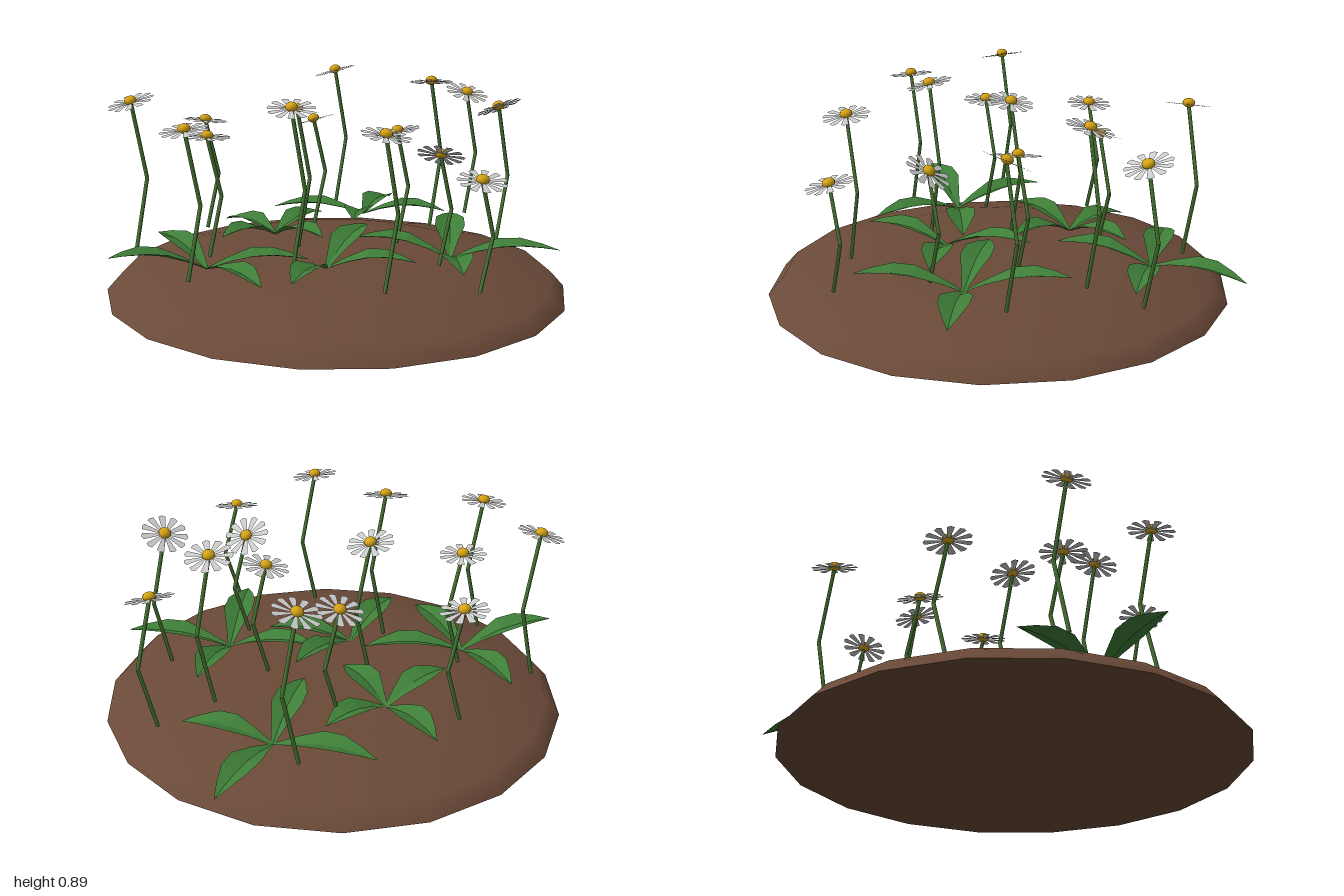
import * as THREE from 'three';

const mat = (color, extra = {}) => new THREE.MeshStandardMaterial({ color, ...extra });
const soil = mat(0x6b4a38);
const stemGreen = mat(0x4a7a35);
const leafGreen = mat(0x3f7f38, { flatShading: true, side: THREE.DoubleSide });
const petalWhite = mat(0xf0f0f0, { side: THREE.DoubleSide });
const heartYellow = mat(0xd9a514);
const UP = new THREE.Vector3(0, 1, 0);

function add(parent, name, geometry, material) {
  const mesh = new THREE.Mesh(geometry, material);
  mesh.name = name;
  parent.add(mesh);
  return mesh;
}

// Low 18-sided mound of earth with a flat underside
function makeMound() {
  const mound = new THREE.Group();
  mound.name = 'mound';
  const profile = [[1, 0], [0.94, 0.068], [0.62, 0.147], [0.42, 0.163], [0, 0.167]]
    .map(([r, y]) => new THREE.Vector2(r, y));
  add(mound, 'soilTop', new THREE.LatheGeometry(profile, 18, Math.PI / 18), soil);
  add(mound, 'soilBase', new THREE.CircleGeometry(1, 18).rotateX(Math.PI / 2), soil);
  mound.scale.z = 1.012;
  return mound;
}

// Straight rod between two points
function rod(parent, a, b, r) {
  const d = b.clone().sub(a);
  const mesh = add(parent, 'stem', new THREE.CylinderGeometry(r, r, d.length(), 6), stemGreen);
  mesh.position.copy(a).add(b).multiplyScalar(0.5);
  mesh.quaternion.setFromUnitVectors(UP, d.normalize());
}

// Ring of wedge-shaped petals lying flat
function petalRing() {
  const count = 11;
  const shapes = [];
  for (let i = 0; i < count; i++) {
    const a = (i / count) * Math.PI * 2;
    const pt = (r, w) => new THREE.Vector2(
      r * Math.cos(a) - w * Math.sin(a), r * Math.sin(a) + w * Math.cos(a));
    shapes.push(new THREE.Shape([
      pt(0.015, -0.005), pt(0.095, -0.016), pt(0.102, 0), pt(0.095, 0.016), pt(0.015, 0.005)]));
  }
  return new THREE.ShapeGeometry(shapes).rotateX(-Math.PI / 2);
}
const petals = petalRing();
const heart = new THREE.SphereGeometry(0.027, 10, 7).scale(1, 0.75, 1);

// Flower: kinked stem and a tilted head
function makeFlower([x, y, z, nx, nz], i) {
  const flower = new THREE.Group();
  flower.name = 'flower';
  const base = new THREE.Vector3(x, 0.175, z);
  const top = new THREE.Vector3(x, y - 0.01, z);
  const knee = base.clone().lerp(top, 0.49);
  knee.x += 0.07;
  rod(flower, base, knee, 0.0085);
  rod(flower, knee, top, 0.0085);
  const head = new THREE.Group();
  head.name = 'flowerHead';
  add(head, 'petals', petals, petalWhite).rotation.y = i * 0.7;
  add(head, 'flowerHeart', heart, heartYellow).position.y = 0.008;
  head.position.copy(top);
  head.quaternion.setFromUnitVectors(UP, new THREE.Vector3(nx, 1, nz).normalize());
  flower.add(head);
  return flower;
}

// Leaf: arched midrib with two raised halves, from root to tip
function leafGeometry(root, tip) {
  const sections = [[0, 0.008], [0.22, 0.036], [0.45, 0.066], [0.65, 0.062], [0.84, 0.033], [1, 0.001]];
  const side = new THREE.Vector3(tip.z - root.z, 0, root.x - tip.x).normalize();
  const pos = [], index = [];
  sections.forEach(([t, w], i) => {
    const c = root.clone().lerp(tip, t);
    c.y += 0.035 * Math.sin(Math.PI * t);
    for (const s of [-1, 0, 1]) {
      const p = c.clone().addScaledVector(side, s * w);
      pos.push(p.x, p.y + Math.abs(s) * w * 0.35, p.z);
    }
    if (i === 0) return;
    for (const k of [0, 1]) {
      const a = (i - 1) * 3 + k, b = a + 3;
      index.push(a, a + 1, b, a + 1, b + 1, b);
    }
  });
  const g = new THREE.BufferGeometry();
  g.setAttribute('position', new THREE.Float32BufferAttribute(pos, 3));
  g.setIndex(index);
  g.computeVertexNormals();
  return g;
}

// x, y, z of each head, then sideways lean of its facing direction
const FLOWERS = [
  [-0.69, 0.85, -0.53, -0.3, -0.05], [-0.20, 0.69, -0.67, 0.12, 0], [-0.48, 0.71, -0.28, 0.05, 0],
  [0.53, 0.85, -0.60, -0.15, -0.25], [0.21, 0.68, -0.39, -0.1, -0.3], [-0.10, 0.80, -0.14, 0.25, -0.05],
  [-0.76, 0.81, -0.05, -0.15, 0], [0.59, 0.86, -0.01, 0.2, -0.2], [0.88, 0.77, -0.06, 0, 0.35],
  [-0.35, 0.87, 0.12, -0.15, 0.2], [0.27, 0.69, 0.10, -0.15, -0.15], [0.16, 0.66, 0.47, 0.6, -0.35],
  [0.59, 0.80, 0.40, 0, -0.55], [-0.27, 0.82, 0.59, 0.05, 0.18], [0.01, 0.64, 0.84, -0.1, 0.22],
];

// Root x, z of each plant and the x, y, z of its leaf tips
const PLANTS = [
  [-0.57, -0.18, [[-0.51, 0.22, -0.62], [-0.98, 0.26, -0.30], [-0.20, 0.18, 0.05], [-0.62, 0.19, 0.25]]],
  [-0.01, -0.41, [[-0.03, 0.17, -0.75], [-0.35, 0.22, -0.36], [0.00, 0.21, -0.09], [0.32, 0.20, -0.46]]],
  [0.54, -0.41, [[0.26, 0.18, -0.75], [0.91, 0.15, -0.61], [0.23, 0.24, -0.14], [0.79, 0.19, -0.10]]],
  [-0.19, 0.15, [[0.20, 0.25, -0.02], [0.08, 0.19, 0.42], [-0.54, 0.21, 0.34]]],
  [0.30, 0.40, [[0.04, 0.24, 0.08], [0.62, 0.25, 0.09], [0.65, 0.20, 0.72], [0.01, 0.23, 0.75]]],
];

export function createModel() {
  const model = new THREE.Group();
  model.name = 'flowerBed';
  model.add(makeMound());
  FLOWERS.forEach((f, i) => model.add(makeFlower(f, i)));
  for (const [x, z, tips] of PLANTS) {
    const plant = new THREE.Group();
    plant.name = 'leafRosette';
    const root = new THREE.Vector3(x, 0.16, z);
    for (const tip of tips) add(plant, 'leaf', leafGeometry(root, new THREE.Vector3(...tip)), leafGreen);
    model.add(plant);
  }
  return model;
}
